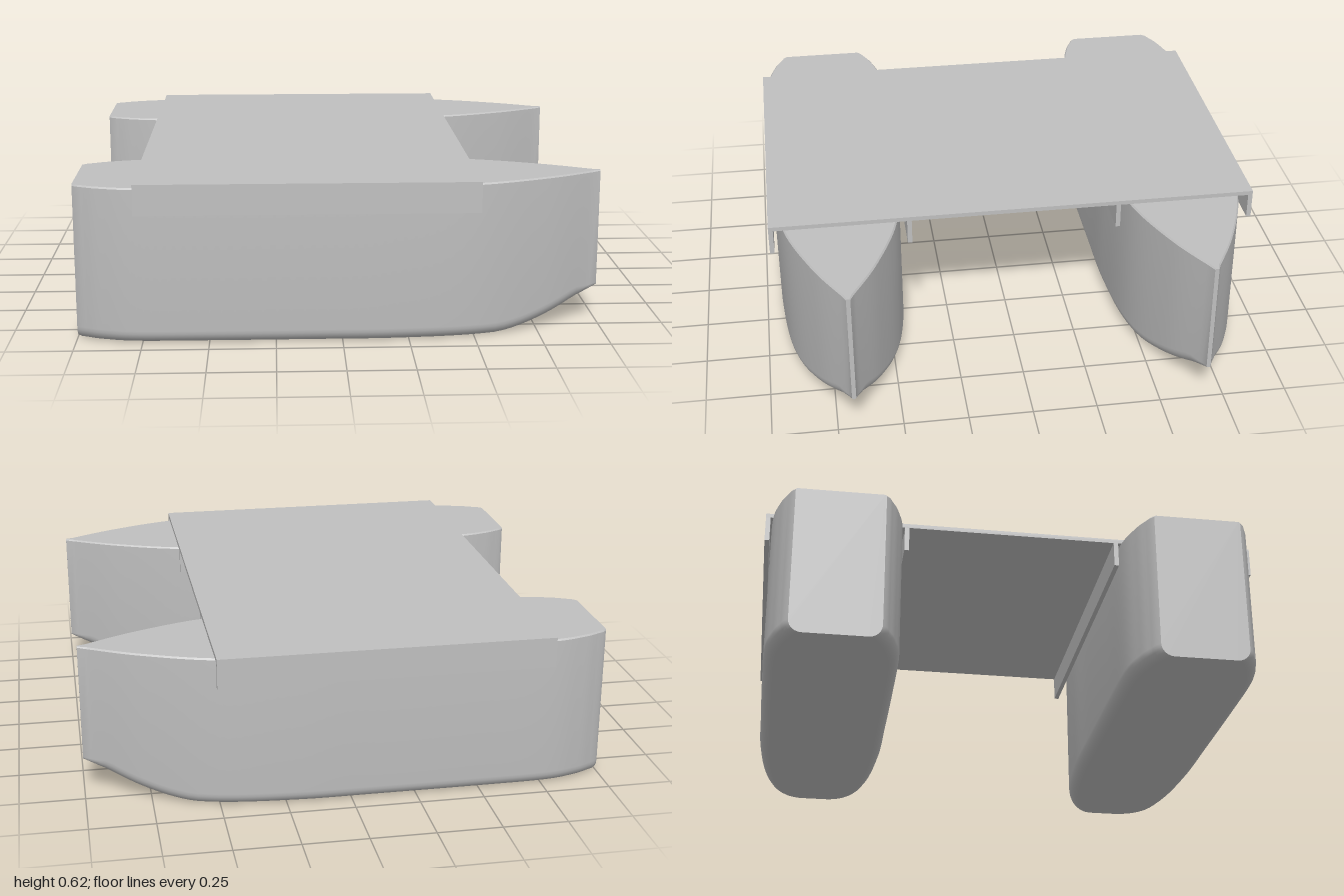
import * as THREE from 'three';
import { toCreasedNormals } from 'three/addons/utils/BufferGeometryUtils.js';

const TOP = 0.598;

// half-width of a hull along its length: blunt stern, pointed bow
function hullStations() {
  const curve = new THREE.SplineCurve([
    [-0.965, 0.194], [-0.9, 0.222], [-0.77, 0.25], [-0.5, 0.255], [-0.1, 0.255], [0.2, 0.252],
    [0.51, 0.218], [0.78, 0.121], [0.97, 0.02],
  ].map(([x, w]) => new THREE.Vector2(x, w)));
  const pts = curve.getPoints(64).map((p) => [p.x, p.y]);
  return [[-1, 0.17], [-0.985, 0.185], ...pts, [1, 0.008]];
}

// bottom line: flat, then sweeping up to the bow
function keelHeight(x) {
  return x < 0.58 ? 0 : 0.14 * Math.pow((x - 0.58) / 0.42, 1.6);
}

// cross-section: slightly eased top edge, upright sides, rounded bilges
function section(x, w) {
  const y0 = keelHeight(x);
  const r = Math.min(0.05, w * 0.9);
  const e = Math.min(0.006, w * 0.4);
  const half = [[w - e, TOP], [w, TOP - e]];
  for (let k = 0; k <= 6; k++) {
    const a = (k / 6) * Math.PI / 2;
    half.push([w - r + r * Math.cos(a), y0 + r - r * Math.sin(a)]);
  }
  const other = half.map(([z, y]) => [-z, y]).reverse();
  return [...half, ...other].map(([z, y]) => [x, y, z]);
}

function hullGeometry() {
  const rings = hullStations().map(([x, w]) => section(x, w));
  const n = rings[0].length;
  const pos = rings.flat(2);
  const index = [];
  for (let i = 0; i < rings.length - 1; i++) {
    for (let j = 0; j < n; j++) {
      const a = i * n + j, b = i * n + (j + 1) % n;
      index.push(a, b, a + n, b, b + n, a + n);
    }
  }
  // transom and stem caps
  const last = (rings.length - 1) * n;
  for (let j = 1; j < n - 1; j++) {
    index.push(0, j + 1, j, last, last + j, last + j + 1);
  }
  const g = new THREE.BufferGeometry();
  g.setAttribute('position', new THREE.Float32BufferAttribute(pos, 3));
  g.setIndex(index);
  return toCreasedNormals(g, 0.55);
}

export function createModel() {
  const model = new THREE.Group();
  model.name = 'catamaran';
  const grey = new THREE.MeshStandardMaterial({ color: 0xbfbfbf });
  grey.name = 'light grey';

  const add = (geometry, name, x, y, z) => {
    const mesh = new THREE.Mesh(geometry, grey);
    mesh.name = name;
    mesh.position.set(x, y, z);
    model.add(mesh);
  };

  // bridge deck
  const length = 1.28, midX = -0.13;
  add(new THREE.BoxGeometry(length, 0.017, 1.92), 'deck', midX, 0.6085, 0);

  // hulls, each gripped by an outer and an inner deck flange
  const hull = hullGeometry();
  const flange = new THREE.BoxGeometry(length, 0.1, 0.018);
  for (const [side, s] of [['left', -1], ['right', 1]]) {
    add(hull, side + 'Hull', 0, 0, s * 0.683);
    add(flange, side + 'OuterFlange', midX, 0.55, s * 0.951);
    add(flange, side + 'InnerFlange', midX, 0.55, s * 0.415);
  }
  return model;
}
